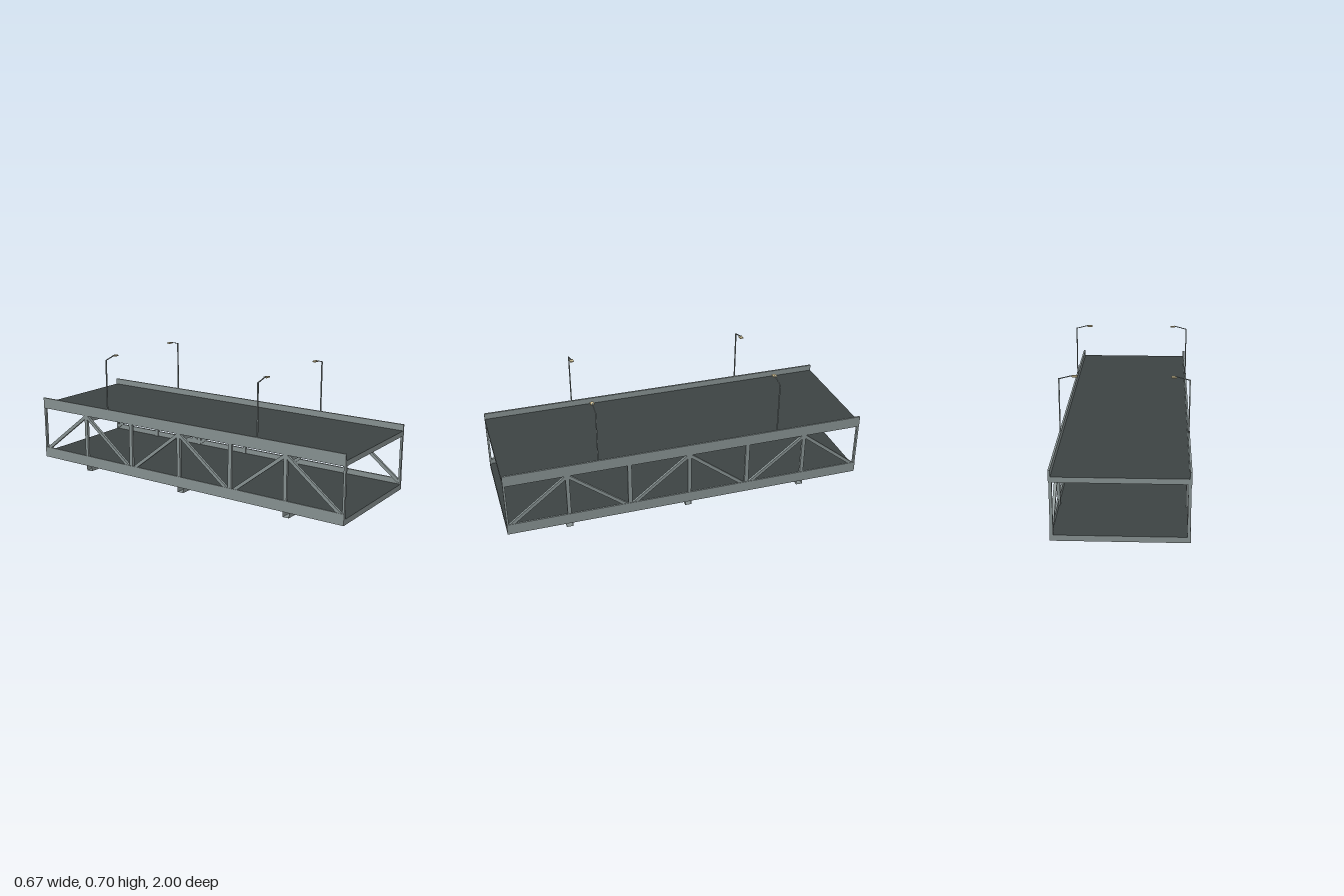
import * as THREE from 'three';

const steel = new THREE.MeshStandardMaterial({ color: 0x848e8e, side: THREE.DoubleSide });
steel.name = 'grey steel';
const asphalt = new THREE.MeshStandardMaterial({ color: 0x3c4343 });
asphalt.name = 'dark asphalt';
const lampGlow = new THREE.MeshStandardMaterial({ color: 0xcfc094 });
lampGlow.name = 'pale lamp';

// Box given by its lower and upper limits on each axis
function box(name, x, y, z, material = steel) {
  const mesh = new THREE.Mesh(
    new THREE.BoxGeometry(x[1] - x[0], y[1] - y[0], z[1] - z[0]), material);
  mesh.position.set((x[0] + x[1]) / 2, (y[0] + y[1]) / 2, (z[0] + z[1]) / 2);
  mesh.name = name;
  return mesh;
}

// Square bar between two points
function bar(name, a, b, thickX, thickZ) {
  const dir = b.clone().sub(a);
  const mesh = new THREE.Mesh(new THREE.BoxGeometry(thickX, dir.length(), thickZ), steel);
  mesh.position.copy(a).add(b).multiplyScalar(0.5);
  mesh.quaternion.setFromUnitVectors(new THREE.Vector3(0, 1, 0), dir.normalize());
  mesh.name = name;
  return mesh;
}

// Hollow square beam across the bridge, open at both ends
function crossBeam(name, y0, y1, z) {
  const geo = new THREE.CylinderGeometry(Math.SQRT1_2, Math.SQRT1_2, 1, 4, 1, true)
    .rotateY(Math.PI / 4).rotateZ(Math.PI / 2).scale(0.632, y1 - y0, 0.036).toNonIndexed();
  geo.computeVertexNormals();
  const mesh = new THREE.Mesh(geo, steel);
  mesh.position.set(0, (y0 + y1) / 2, z);
  mesh.name = name;
  return mesh;
}

// Truss, girders and street lamps of one side (s = 1 or -1)
function buildSide(s) {
  const side = new THREE.Group();
  side.name = s > 0 ? 'leftSide' : 'rightSide';
  const span = (a, b) => (s > 0 ? [a, b] : [-b, -a]);
  const V = (x, y, z) => new THREE.Vector3(s * x, y, z);

  side.add(box('lowerGirder', span(0.323, 0.333), [0.035, 0.095], [-1, 1]));
  side.add(box('upperGirder', span(0.323, 0.333), [0.335, 0.397], [-1, 1]));

  // Posts at every third of each half, the end ones cut flush
  for (let i = -3; i <= 3; i++) {
    const z = i / 3;
    const half = i % 2 ? 0.011 : 0.01;
    side.add(box('trussPost', span(0.316, 0.331), [0.06, 0.336],
      [Math.max(-1, z - half), Math.min(1, z + half)]));
  }

  // Pairs of diagonals meeting at the top
  for (const z of [-2 / 3, 0, 2 / 3]) {
    for (const d of [-1, 1]) {
      side.add(bar('trussDiagonal', V(0.3235, 0.08, z + d * 0.322), V(0.3235, 0.332, z), 0.015, 0.018));
    }
  }

  // Street lamps
  for (const z of [-0.5, 0.5]) {
    const lamp = new THREE.Group();
    lamp.name = 'streetLamp';
    lamp.add(box('lampPole', span(0.3255, 0.3315), [0.39, 0.68], [z - 0.003, z + 0.003]));
    lamp.add(bar('lampArm', V(0.33, 0.678, z), V(0.255, 0.697, z), 0.004, 0.005));
    lamp.add(box('lampHead', span(0.235, 0.263), [0.69, 0.696], [z - 0.01, z + 0.01], lampGlow));
    side.add(lamp);
  }
  return side;
}

export function createModel() {
  const bridge = new THREE.Group();
  bridge.name = 'doubleDeckBridge';

  // Decks with asphalt on the top face only
  const deckMaterials = [steel, steel, asphalt, steel, steel, steel];
  bridge.add(box('lowerDeck', [-0.324, 0.324], [0.035, 0.065], [-1, 1], deckMaterials));
  bridge.add(box('upperDeck', [-0.324, 0.324], [0.335, 0.363], [-1, 1], deckMaterials));

  // Cross beams under both decks
  for (const z of [-2 / 3, 0, 2 / 3]) {
    bridge.add(crossBeam('lowerCrossBeam', 0, 0.035, z));
    bridge.add(crossBeam('upperCrossBeam', 0.3, 0.335, z));
  }

  bridge.add(buildSide(1), buildSide(-1));
  return bridge;
}
